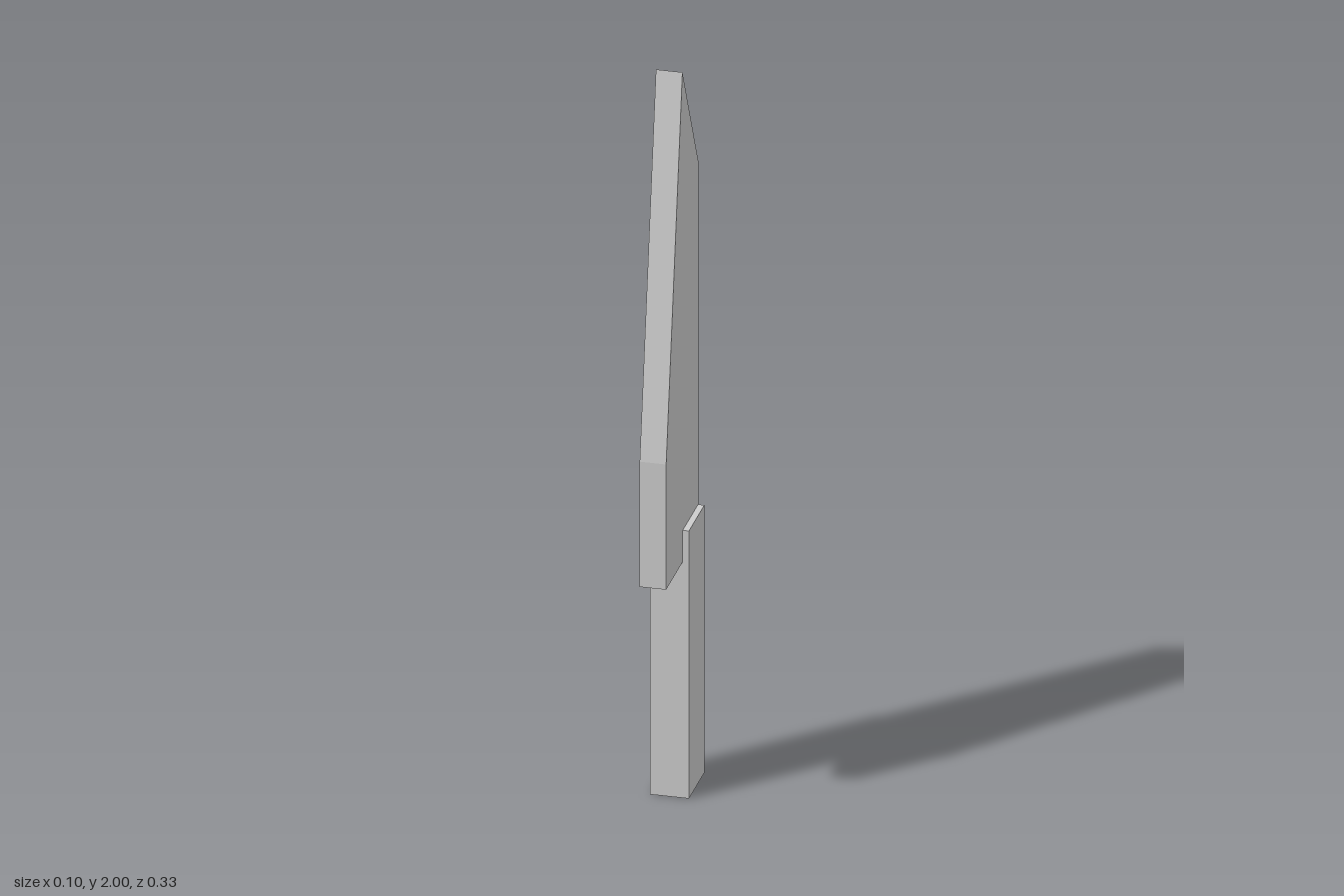
import * as THREE from 'three';

export function createModel() {
  const group = new THREE.Group();
  const material = new THREE.MeshStandardMaterial({ color: 0xcccccc, flatShading: true });

  // Blade: side profile as (z, y), extruded across x
  const thickness = 0.068;
  const profile = [[-0.165, 0.65], [0.165, 0.65], [0.165, 0.995], [0, 2], [-0.165, 1.675]];
  const shape = new THREE.Shape(profile.map(([z, y]) => new THREE.Vector2(z, y)));
  const bladeGeometry = new THREE.ExtrudeGeometry(shape, { depth: thickness, bevelEnabled: false });
  bladeGeometry.translate(0, 0, -thickness / 2).rotateY(-Math.PI / 2);
  const blade = new THREE.Mesh(bladeGeometry, material);
  blade.name = 'blade';

  // Handle: plain block overlapping the rear half of the blade's base
  const handle = new THREE.Mesh(new THREE.BoxGeometry(0.1, 0.737, 0.156), material);
  handle.position.set(0, 0.3685, -0.081);
  handle.name = 'handle';

  group.add(blade, handle);
  return group;
}
